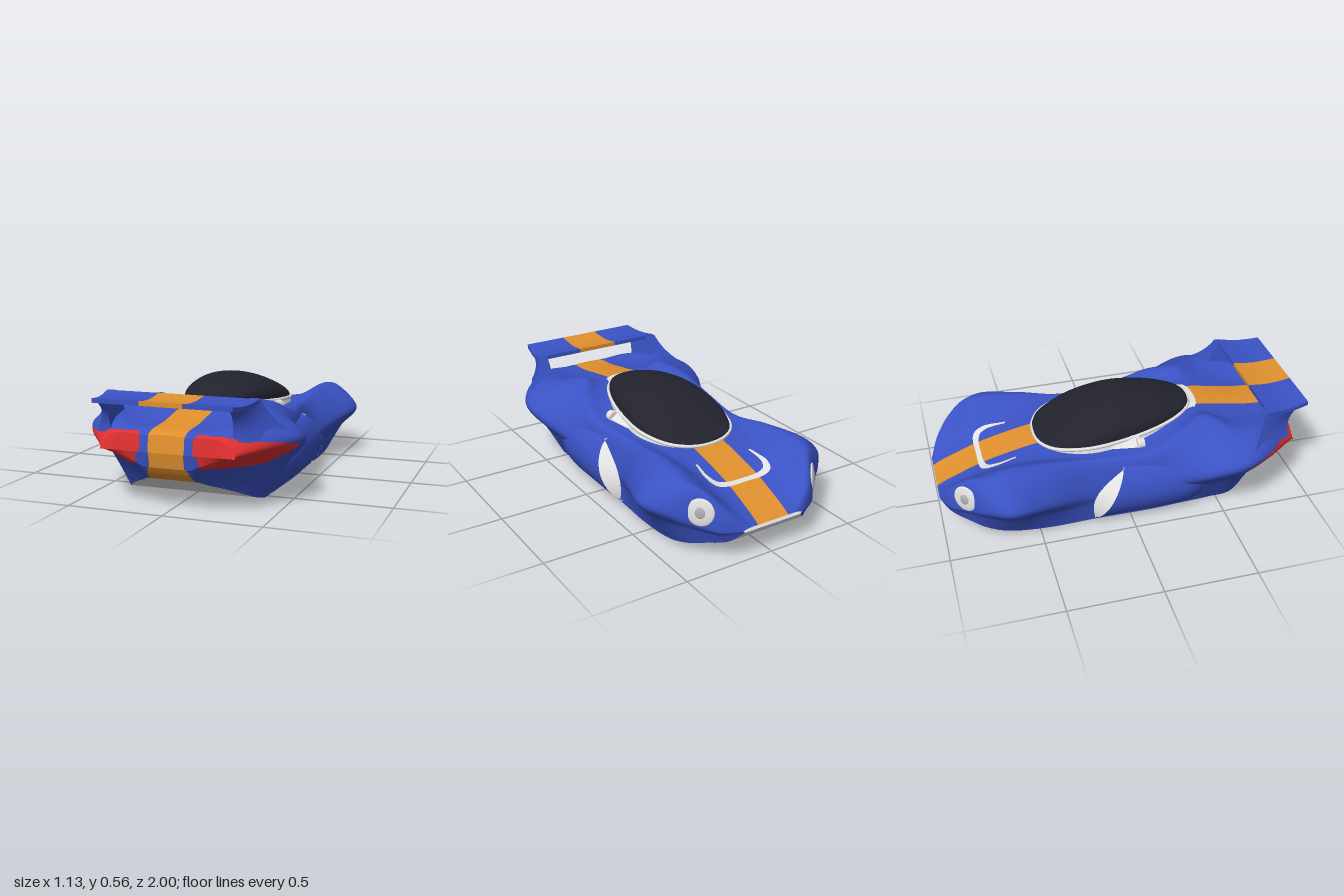
import * as THREE from 'three';

const mat = (name, color, side = THREE.FrontSide) => {
  const m = new THREE.MeshStandardMaterial({ color, side });
  m.name = name;
  return m;
};
const blue = mat('blue paint', 0x3a52c4, THREE.DoubleSide);
const orange = mat('orange stripe', 0xe0902e);
const red = mat('red lamp', 0xe03030);
const glass = mat('dark glass', 0x23232e);
const white = mat('white trim', 0xe2e2e2, THREE.DoubleSide);
const grey = mat('grey lens', 0xb0b0b0);
const STRIPE = 0.093;

// Body stations: z, floor y, floor half width, widest x y, fender top x y, valley x y, centre y
const BODY = [
  [-1.0, 0.16, 0.17, 0.18, 0.17, 0.155, 0.178, 0.11, 0.18, 0.18],
  [-0.95, 0.105, 0.23, 0.285, 0.18, 0.25, 0.26, 0.14, 0.215, 0.205],
  [-0.86, 0.075, 0.3, 0.365, 0.21, 0.32, 0.355, 0.17, 0.26, 0.245],
  [-0.77, 0.045, 0.35, 0.475, 0.26, 0.37, 0.392, 0.18, 0.295, 0.28],
  [-0.65, 0.022, 0.38, 0.547, 0.28, 0.37, 0.413, 0.2, 0.33, 0.315],
  [-0.45, 0.01, 0.39, 0.485, 0.25, 0.36, 0.398, 0.23, 0.36, 0.36],
  [-0.2, 0.004, 0.38, 0.4, 0.2, 0.345, 0.355, 0.26, 0.365, 0.39],
  [0.1, 0.002, 0.38, 0.415, 0.2, 0.38, 0.365, 0.28, 0.385, 0.41],
  [0.3, 0.002, 0.37, 0.475, 0.26, 0.35, 0.44, 0.22, 0.44, 0.44],
  [0.45, 0.005, 0.365, 0.54, 0.32, 0.29, 0.48, 0.16, 0.455, 0.455],
  [0.6, 0.018, 0.355, 0.56, 0.34, 0.39, 0.44, 0.2, 0.425, 0.435],
  [0.75, 0.085, 0.25, 0.49, 0.33, 0.38, 0.43, 0.19, 0.4, 0.41],
  [0.88, 0.15, 0.13, 0.39, 0.31, 0.3, 0.395, 0.15, 0.392, 0.395],
  [0.94, 0.22, 0.12, 0.345, 0.3, 0.26, 0.37, 0.12, 0.37, 0.375],
];
// Canopy stations: z, half width, base y, top y
const CANOPY = [
  [-0.445, 0, 0.37, 0.373], [-0.43, 0.1, 0.375, 0.387], [-0.36, 0.195, 0.385, 0.41],
  [-0.2, 0.255, 0.4, 0.495], [0, 0.25, 0.415, 0.557], [0.2, 0.212, 0.437, 0.545],
  [0.34, 0.152, 0.456, 0.51], [0.41, 0.08, 0.465, 0.485], [0.425, 0, 0.467, 0.472],
];

const cr = (a, b, c, d, t) => b + 0.5 * t * (c - a + t * (2 * a - 5 * b + 4 * c - d + t * (3 * (b - c) + d - a)));
function row(table, u) {
  const n = table.length - 1, f = u * n, i = Math.min(n - 1, Math.floor(f));
  const at = k => table[Math.max(0, Math.min(n, k))];
  return table[0].map((_, c) => cr(at(i - 1)[c], at(i)[c], at(i + 1)[c], at(i + 2)[c], f - i));
}
function bisect(lo, hi, below) {
  for (let k = 0; k < 30; k++) {
    const m = (lo + hi) / 2;
    if (below(m)) lo = m; else hi = m;
  }
  return lo;
}

// Point on the body's +x half: v from 0 (floor edge) to 5 (centre line)
function bodyPoint(u, v) {
  const [z, yb, xb, xw, yw, xf, yf, xv, yv, yc] = row(BODY, u);
  const p = [[xb, yb], [xb + (xw - xb) * 0.48, yb + (yw - yb) * 0.53], [xw, yw], [xf, yf], [xv, yv], [0, yc], [-xv, yv]];
  const i = Math.min(4, Math.floor(v)), a = p[Math.max(0, i - 1)];
  const [x, y] = [0, 1].map(k => cr(a[k], p[i][k], p[i + 1][k], p[i + 2][k], v - i));
  return new THREE.Vector3(x, y, z);
}
const uAt = z => bisect(0, 1, m => row(BODY, m)[0] < z);
const vAt = (u, x) => bisect(3, 5, m => bodyPoint(u, m).x > x);
const topPoint = (x, z, lift) => {
  const u = uAt(z);
  return new THREE.Vector3(x, bodyPoint(u, vAt(u, Math.abs(x))).y + lift, z);
};

// Smooth surface over a grid; pick(centroid) chooses a material index for each triangle
function surface(name, nu, nv, fn, materials, pick = () => 0) {
  const pts = [], lists = materials.map(() => []);
  for (let i = 0; i <= nu; i++) for (let j = 0; j <= nv; j++) pts.push(fn(i / nu, j / nv));
  for (let i = 0; i < nu; i++) for (let j = 0; j < nv; j++) {
    const a = i * (nv + 1) + j, c = a + nv + 1;
    for (const t of [[a, a + 1, c], [a + 1, c + 1, c]]) {
      const m = new THREE.Vector3();
      t.forEach(k => m.addScaledVector(pts[k], 1 / 3));
      lists[pick(m)].push(...t);
    }
  }
  const g = new THREE.BufferGeometry().setFromPoints(pts);
  g.setIndex(lists.flat());
  let start = 0;
  lists.forEach((l, k) => { g.addGroup(start, l.length, k); start += l.length; });
  g.computeVertexNormals();
  return named(name, g, materials.length > 1 ? materials : materials[0]);
}
function named(name, geometry, material) {
  const m = new THREE.Mesh(geometry, material);
  m.name = name;
  return m;
}

export function createModel() {
  const car = new THREE.Group();
  car.name = 'raceCar';

  // Painted shell with centre stripe and wrap-round tail lamps
  const paint = p => {
    const x = Math.abs(p.x);
    const reach = Math.min(1, Math.max(0, (p.z - 0.58) / 0.14));
    const top = 0.31 + (0.075 - Math.max(0, x - 0.27) * 0.2) * reach;
    if (p.z > 0.6 && x > 0.13 + Math.abs(p.y - 0.33) * 0.4 && p.y < top && p.y > 0.31 - 0.09 * reach) return 2;
    return x < STRIPE + (p.z > 0.85 ? Math.max(0, 0.24 - p.y) * 0.3 : 0) ? 1 : 0;
  };
  const closeTail = (u, p) => {
    if (u === 1) { p.y = 0.29; p.z = 0.95; }
    return p;
  };
  const NU = 170;
  const seam = Array.from({ length: NU + 1 }, (_, i) => vAt(i / NU, STRIPE)); // grid line on the stripe edge
  car.add(surface('bodyShell', NU, 140, (u, v) => {
    const s = 1 - Math.abs(2 * v - 1), edge = seam[Math.round(u * NU)];
    const p = bodyPoint(u, s < 0.9 ? edge * s / 0.9 : edge + (5 - edge) * (s - 0.9) / 0.1);
    if (v > 0.5) p.x *= -1;
    return closeTail(u, p);
  }, [blue, orange, red], paint));
  car.add(surface('floor', 170, 24, (u, v) => {
    const p = bodyPoint(u, 0);
    p.x *= 2 * v - 1;
    return closeTail(u, p);
  }, [blue, orange, red, white], p => (p.z > 0.8 && p.y > 0.143 ? paint(p) : 3)));

  // Canopy, its rim and the skirt that widens behind it
  car.add(surface('canopy', 60, 40, (u, v) => {
    const [z, w, base, top] = row(CANOPY, u);
    const t = Math.PI * v;
    return new THREE.Vector3(w * Math.cos(t), base + (top - base) * Math.pow(Math.max(0, Math.sin(t)), 0.88), z);
  }, [glass]));
  const edge = (s, k) => new THREE.Vector3(s * (k[1] + 0.005), k[2] - 0.008, k[0]);
  const outline = [...CANOPY.map(k => edge(1, k)), ...CANOPY.slice(1, -1).reverse().map(k => edge(-1, k))];
  const rim = new THREE.CatmullRomCurve3(outline, true);
  car.add(named('canopyRim', new THREE.TubeGeometry(rim, 120, 0.01, 8, true), white));
  car.add(surface('canopySkirt', 120, 2, (u, v) => {
    const p = rim.getPoint(u), back = THREE.MathUtils.smoothstep(p.z, 0.12, 0.42), d = 1 - v;
    return p.set(p.x * (1 + (0.06 + 0.06 * back) * d), p.y - (0.06 - 0.059 * back) * d, p.z + 0.045 * back * d);
  }, [white]));

  // Rear wing: blue outer panels and an orange middle
  const wingPanel = (name, f0, f1, r0, r1, m) => {
    const g = new THREE.BoxGeometry(1, 0.022, 1, 1, 1, 8), p = g.attributes.position;
    for (let i = 0; i < p.count; i++) {
      const s = p.getX(i) + 0.5, t = p.getZ(i) + 0.5;
      const x = (f0 + (f1 - f0) * s) * (1 - t) + (r0 + (r1 - r0) * s) * t;
      p.setXYZ(i, x, p.getY(i) + 0.532 - 0.012 * Math.sin(Math.PI * t), 0.755 + 0.245 * t);
    }
    g.computeVertexNormals();
    car.add(named(name, g, m));
  };
  wingPanel('wingCentre', -0.12, 0.12, -0.11, 0.11, orange);
  wingPanel('wingLeft', 0.12, 0.4, 0.11, 0.355, blue);
  wingPanel('wingRight', -0.4, -0.12, -0.355, -0.11, blue);

  for (const s of [1, -1]) {
    const side = s > 0 ? 'Left' : 'Right';
    const half = (name, nu, nv, fn, m) => car.add(surface(name + side, nu, nv, (u, v) => {
      const p = fn(s > 0 ? u : 1 - u, v);
      p.x *= s;
      return p;
    }, [m]));

    // Fin sweeping from the rear fender up to the wing tip
    const fin = new THREE.BoxGeometry(1, 1, 1, 3, 10, 8), q = fin.attributes.position;
    for (let i = 0; i < q.count; i++) {
      const h = q.getY(i) + 0.5, t = q.getZ(i) + 0.5;
      const outer = 0.54 - 0.22 * h + 0.08 * h * h - t * (0.15 - 0.1 * h);
      const inner = 0.335 + 0.012 * h - 0.02 * t;
      const k = s > 0 ? q.getX(i) + 0.5 : 0.5 - q.getX(i);
      const back = 0.89 + 0.11 * h * h * h, front = 0.58 + 0.16 * Math.sqrt(h);
      q.setXYZ(i, s * (inner + (outer - inner) * k),
        0.36 + 0.182 * h - 0.014 * h * Math.sin(Math.PI * t), front + (back - front) * t);
    }
    fin.computeVertexNormals();
    car.add(named('wingFin' + side, fin, blue));

    // Side pod with a slanted air intake, fading into the rear fender
    const bulge = v => 0.375 + 0.1 * Math.pow(Math.max(0, Math.sin(Math.PI * v)), 0.6);
    const lip = v => -0.2 + 0.16 * v;
    half('sidePod', 30, 24, (u, v) => new THREE.Vector3(
      bulge(v) - 0.1 * Math.pow(u, 8), 0.02 + 0.31 * v, lip(v) + (0.46 - lip(v)) * u), blue);
    half('sideIntake', 6, 24, (u, v) => new THREE.Vector3(
      0.4 + (bulge(v) + 0.001 - 0.4) * u, 0.02 + 0.31 * v, lip(v) - 0.07 * Math.sin(Math.PI * v) * (1 - u)), white);

    // Wedge-shaped duct beside the canopy with a round end cap
    half('canopyDuct', 12, 4, (u, v) => {
      const z = -0.12 + 0.2 * u, o = topPoint(0.262 + 0.048 * u, z, 0.004);
      return o.lerp(new THREE.Vector3(0.245, 0.405 + 0.02 * u, z), v);
    }, white);
    const cap = named('ductCap' + side, new THREE.CylinderGeometry(0.03, 0.03, 0.04, 24).rotateX(Math.PI / 2), white);
    cap.position.set(s * 0.28, 0.39, 0.08);
    car.add(cap);

    // Headlamp set into the nose of the fender
    const u = uAt(-0.875), at = bodyPoint(u, 2.4);
    const n = bodyPoint(u, 2.5).sub(bodyPoint(u, 2.3))
      .cross(bodyPoint(u + 0.01, 2.4).sub(bodyPoint(u - 0.01, 2.4))).normalize();
    const lamp = new THREE.Group();
    lamp.name = 'headlamp' + side;
    lamp.position.set(s * at.x, at.y, at.z);
    lamp.lookAt(s * (at.x + n.x), at.y + n.y, at.z + n.z);
    const surround = named('lampSurround', new THREE.SphereGeometry(1, 28, 14), white);
    surround.scale.set(0.07, 0.072, 0.012);
    const lens = named('lampLens', new THREE.SphereGeometry(1, 24, 12), grey);
    lens.scale.set(0.036, 0.04, 0.016);
    lamp.add(surround, lens);
    car.add(lamp);
  }

  // Flat arched vent edge on the bonnet, broad in front and narrow along the legs
  const arch = pts => new THREE.CatmullRomCurve3(pts.map(([x, z]) => new THREE.Vector3(x, 0, z)));
  const outer = arch([[-0.172, -0.575], [-0.19, -0.7], [-0.165, -0.755], [0, -0.768], [0.165, -0.755], [0.19, -0.7], [0.172, -0.575]]);
  const inner = arch([[-0.16, -0.575], [-0.164, -0.68], [-0.14, -0.725], [0, -0.742], [0.14, -0.725], [0.164, -0.68], [0.16, -0.575]]);
  car.add(surface('bonnetVent', 60, 3, (u, v) => {
    const p = inner.getPoint(u).lerp(outer.getPoint(u), v);
    return topPoint(p.x, p.z, 0.005);
  }, [white]));

  return car;
}
